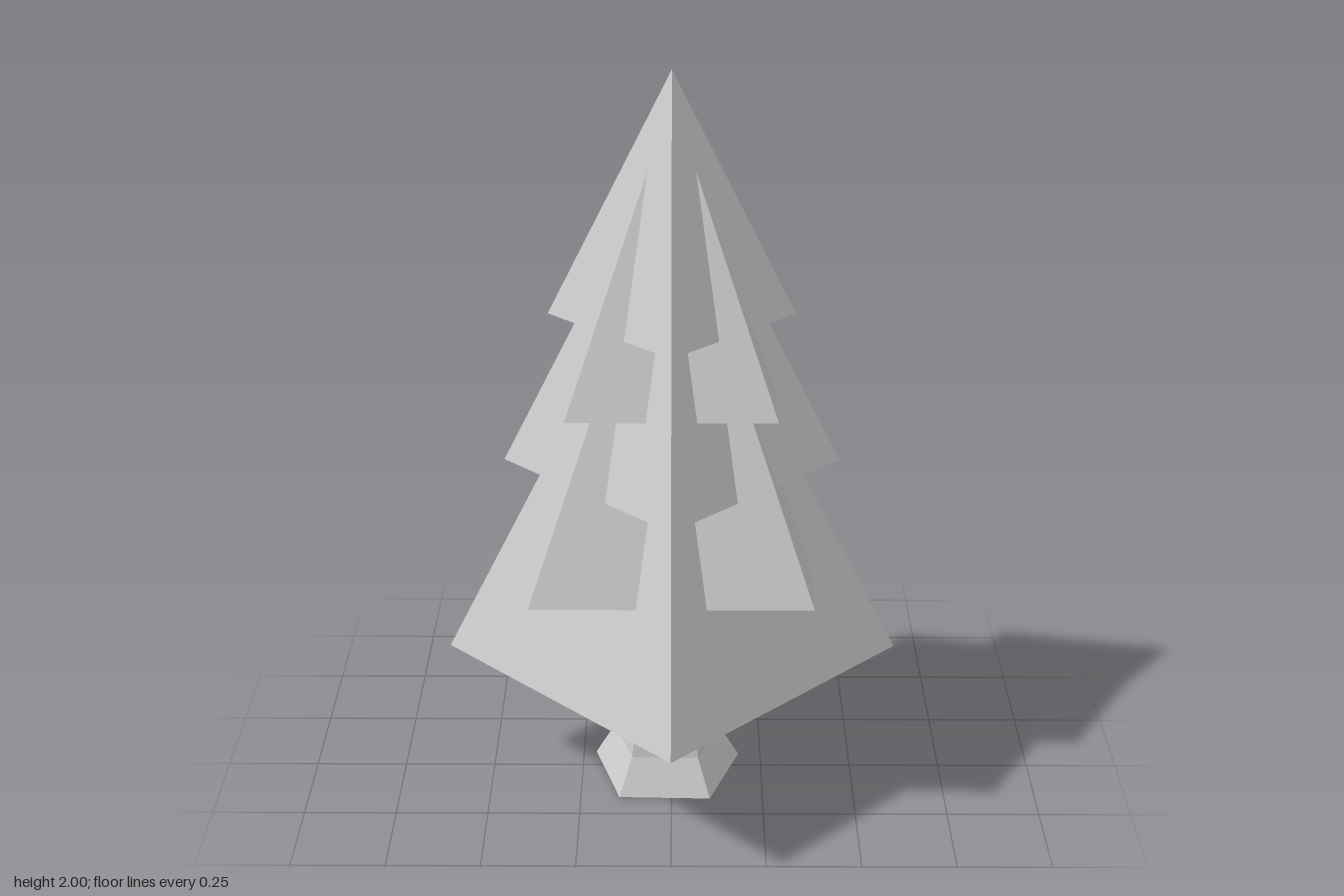
import * as THREE from 'three';

export function createModel() {
  const model = new THREE.Group();
  const material = new THREE.MeshStandardMaterial({ color: 0xcccccc, flatShading: true });
  const add = (name, geometry) => {
    const mesh = new THREE.Mesh(geometry, material);
    mesh.name = name;
    model.add(mesh);
    return mesh;
  };

  // Foliage: five four-sided pyramids of equal slope, every other one turned 45 degrees
  const tiers = [[0.61, 0.383], [0.519, 0.687], [0.445, 0.945], [0.382, 1.165], [0.321, 1.358]];
  tiers.forEach(([radius, base], i) => {
    const height = radius * 2;
    const tier = add(`foliageTier${i + 1}`, new THREE.ConeGeometry(radius, height, 4));
    tier.position.y = base + height / 2;
    tier.rotation.y = (i % 2) * Math.PI / 4;
  });

  // Trunk: five-sided, pinched at the middle and closed at both ends
  const profile = [[0, 0], [0.212, 0], [0.155, 0.1], [0.135, 0.2], [0.155, 0.29], [0.212, 0.383], [0, 0.383]];
  const trunk = add('trunk', new THREE.LatheGeometry(
    profile.map(([r, y]) => new THREE.Vector2(r, y)), 5, THREE.MathUtils.degToRad(106.5)));
  trunk.position.x = -0.015;

  return model;
}
